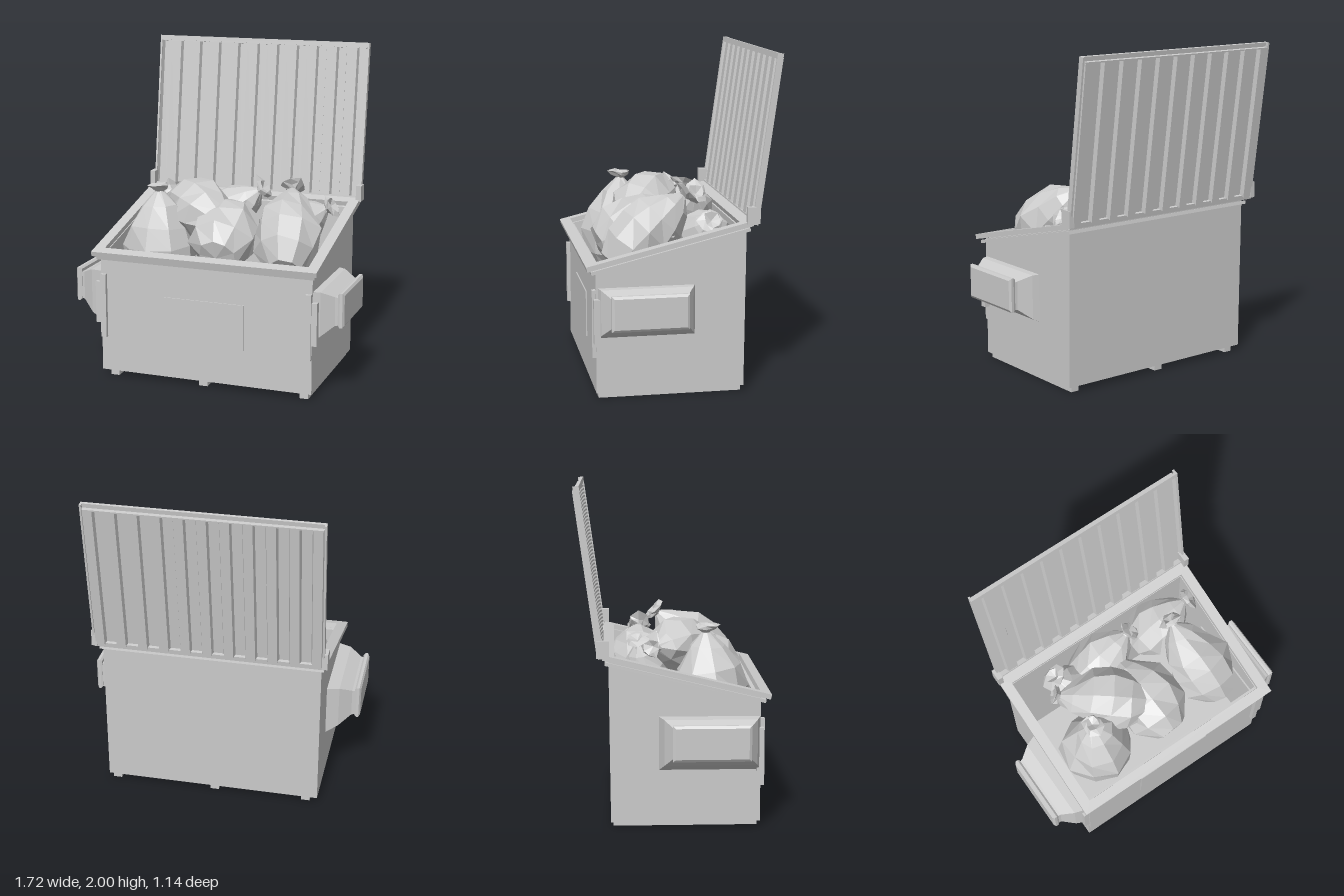
import * as THREE from 'three';

const grey = new THREE.MeshStandardMaterial({ color: 0xcccccc, flatShading: true, side: THREE.DoubleSide });
const MID = 0.018; // centre line of the bin body
const SLOPE = Math.atan(0.242);

function add(parent, name, geometry, x = 0, y = 0, z = 0) {
  const mesh = new THREE.Mesh(geometry, grey);
  mesh.name = name;
  mesh.position.set(x, y, z);
  parent.add(mesh);
  return mesh;
}

// Box given by its limits on each axis
function block(parent, name, [x0, x1], [y0, y1], [z0, z1]) {
  return add(parent, name, new THREE.BoxGeometry(x1 - x0, y1 - y0, z1 - z0),
    (x0 + x1) / 2, (y0 + y1) / 2, (z0 + z1) / 2);
}

function polygon(points) {
  return new THREE.Shape(points.map(([x, y]) => new THREE.Vector2(x, y)));
}

const extrude = (shape, depth) => new THREE.ExtrudeGeometry(shape, { depth, bevelEnabled: false });

// Rectangular sections [x, y0, y1, z0, z1] joined along x, on side s
function loft(sections, s) {
  const n = sections.length - 1;
  const geo = new THREE.BoxGeometry(n, 1, 1, n, 1, 1);
  const p = geo.attributes.position;
  for (let i = 0; i < p.count; i++) {
    const [x, y0, y1, z0, z1] = sections[Math.round(p.getX(i) * s + n / 2)];
    p.setXYZ(i, s * x, p.getY(i) > 0 ? y1 : y0, p.getZ(i) > 0 ? z1 : z0);
  }
  geo.computeVertexNormals();
  return geo;
}

// Rectangular frame lying flat, with its underside on y = 0
function frame(w, d, holeW, holeD, height) {
  const rect = (a, b) => [[-a / 2, -b / 2], [a / 2, -b / 2], [a / 2, b / 2], [-a / 2, b / 2]];
  const shape = polygon(rect(w, d));
  shape.holes.push(polygon(rect(holeW, holeD)));
  return extrude(shape, height).rotateX(-Math.PI / 2);
}

// Repeatable offset in -1..1 that depends on the position only
function noise(x, y, z, seed) {
  const q = v => Math.round(v * 1000) / 1000 + 0;
  const h = Math.sin(q(x) * 127.1 + q(y) * 311.7 + q(z) * 74.7 + seed * 19.3) * 43758.5453;
  return (h - Math.floor(h)) * 2 - 1;
}

// Turned shape with creased, uneven facets
function crumpled(profile, sides, amount, seed) {
  const geo = new THREE.LatheGeometry(profile.map(([r, y]) => new THREE.Vector2(r, y)), sides);
  const p = geo.attributes.position;
  for (let i = 0; i < p.count; i++) {
    const v = [p.getX(i), p.getY(i), p.getZ(i)];
    const k = 1 + amount * noise(...v, seed);
    p.setXYZ(i, v[0] * k, v[1] + amount * 0.4 * Math.hypot(v[0], v[2]) * noise(...v, seed + 5), v[2] * k);
  }
  geo.computeVertexNormals();
  return geo;
}

// Tied rubbish bag reaching from its middle to its knot
function bag(parent, centre, knot, radius, seed) {
  const c = new THREE.Vector3(...centre);
  const axis = new THREE.Vector3(...knot).sub(c);
  const length = axis.length();
  const g = new THREE.Group();
  g.name = 'rubbishBag';
  g.position.copy(c);
  g.quaternion.setFromUnitVectors(new THREE.Vector3(0, 1, 0), axis.normalize());
  const body = crumpled([[0, -0.95], [0.55, -0.9], [0.93, -0.5], [1.02, -0.05], [0.88, 0.35],
    [0.5, 0.75], [0.13, 1]], 9, 0.11, seed);
  add(g, 'bagBody', body.scale(radius, length, radius));
  const tie = crumpled([[0.035, -0.03], [0.022, 0], [0.05, 0.02], [0.078, 0.04], [0.045, 0.05], [0, 0.025]],
    8, 0.3, seed + 2);
  add(g, 'bagKnot', tie, 0, length, 0);
  parent.add(g);
}

function buildBody(root) {
  const body = new THREE.Group();
  body.name = 'binBody';
  root.add(body);
  const [x0, x1, t] = [-0.655, 0.69, 0.03];
  // Side walls with a sloping top; shape x is -z
  const side = polygon([[-0.515, 0.035], [0.36, 0.035], [0.37, 0.99], [-0.515, 0.776]]);
  for (const x of [x0, x1 - t]) {
    add(body, 'sideWall', extrude(side, t).rotateY(Math.PI / 2), x, 0, 0);
  }
  block(body, 'frontWall', [x0 + t, x1 - t], [0.035, 0.775], [0.485, 0.515]);
  const back = polygon([[0.36, 0.035], [0.37, 0.99], [0.34, 0.98], [0.33, 0.035]]);
  add(body, 'backWall', extrude(back, x1 - x0 - 2 * t).rotateY(Math.PI / 2), x0 + t, 0, 0);
  block(body, 'floor', [x0 + t, x1 - t], [0.035, 0.06], [-0.34, 0.49]);
  block(body, 'frontPanel', [-0.24, 0.27], [0.26, 0.54], [0.51, 0.522]);
  for (const x of [-0.58, 0.003, 0.64]) {
    block(body, 'runner', [x - 0.027, x + 0.027], [0, 0.037], [-0.345, 0.5]);
  }
  // Sloping rim in two steps
  const rim = new THREE.Group();
  rim.name = 'rim';
  rim.position.set(MID, 0.88, 0.08);
  rim.rotation.x = SLOPE;
  add(rim, 'upperRim', frame(1.42, 1.0, 1.29, 0.87, 0.03), 0, 0.005, 0);
  add(rim, 'lowerRim', frame(1.38, 0.96, 1.32, 0.89, 0.02), 0, -0.025, 0);
  root.add(rim);
}

function buildFittings(root) {
  for (const s of [-1, 1]) {
    // Lifting pocket with a bevelled end plate
    const pocket = new THREE.Group();
    pocket.name = s > 0 ? 'leftPocket' : 'rightPocket';
    add(pocket, 'pocketSleeve', loft([[0.65, 0.345, 0.665, -0.08, 0.515], [0.73, 0.39, 0.66, -0.05, 0.49],
      [0.805, 0.45, 0.625, 0, 0.44], [0.83, 0.455, 0.62, 0.005, 0.435]], s));
    add(pocket, 'pocketPlate', loft([[0.822, 0.455, 0.64, 0, 0.44], [0.834, 0.44, 0.65, -0.005, 0.445],
      [0.85, 0.44, 0.65, -0.005, 0.445], [0.86, 0.455, 0.635, 0.01, 0.43]], s));
    root.add(pocket);
    // Brackets on the front corners
    const x = MID + s * 0.652;
    block(root, 'cornerBracket', [x - 0.018, x + 0.018], [0.25, 0.65], [0.505, 0.538]);
    const o = x + s * 0.024;
    block(root, 'outerBracket', [o - 0.028, o + 0.028], [0.34, 0.6], [0.49, 0.53]);
    // Lid hinge
    const h = MID + 0.002 + s * 0.702;
    block(root, 'hinge', [h - 0.017, h + 0.017], [1.015, 1.115], [-0.44, -0.365]);
  }
}

function buildLid(root) {
  const lid = new THREE.Group();
  lid.name = 'openLid';
  lid.position.set(0.025, 1.03, -0.402);
  lid.rotation.x = -0.138;
  const [half, skin, deep, pitch, height] = [0.705, 0.009, 0.036, 0.132, 0.95];
  // Corrugated sheet: ribs stand out at the back and are hollow at the front
  const front = [[-half, 0]];
  const rear = [[-half, skin]];
  for (let i = -5; i <= 5; i++) {
    const c = i * pitch;
    front.push([c - 0.033, 0], [c - 0.025, deep - skin], [c + 0.025, deep - skin], [c + 0.033, 0]);
    rear.push([c - 0.036, skin], [c - 0.028, deep], [c + 0.028, deep], [c + 0.036, skin]);
  }
  front.push([half, 0]);
  rear.push([half, skin]);
  const sheet = polygon([...front, ...rear.reverse()]);
  add(lid, 'ribbedSheet', extrude(sheet, height).rotateX(-Math.PI / 2));
  // Border: top flange, end cap of the ribs and side edges
  block(lid, 'topFlange', [-half, half], [height - 0.004, 0.976], [-0.012, 0.006]);
  block(lid, 'topCap', [-0.69, 0.69], [height - 0.008, height], [-deep, 0]);
  block(lid, 'bottomEdge', [-half, half], [-0.02, 0.01], [-0.03, 0.004]);
  for (const s of [-1, 1]) {
    const x = s * (half - 0.006);
    block(lid, 'sideEdge', [x - 0.006, x + 0.006], [0, 0.976], [-0.03, 0.006]);
  }
  root.add(lid);
}

export function createModel() {
  const root = new THREE.Group();
  root.name = 'openRubbishBin';
  buildBody(root);
  buildFittings(root);
  buildLid(root);
  // Heap of bags: middle, knot, radius
  const heap = [
    [[-0.38, 0.80, 0.23], [-0.39, 1.12, 0.21], 0.22],
    [[-0.2, 0.99, 0.07], [-0.43, 1.04, -0.09], 0.19],
    [[0.03, 0.88, 0.17], [0.0, 0.98, -0.1], 0.21],
    [[-0.08, 0.92, -0.18], [0.13, 1.08, -0.18], 0.165],
    [[0.38, 0.88, -0.18], [0.57, 1.0, -0.18], 0.165],
    [[0.43, 0.92, 0.17], [0.39, 1.13, -0.05], 0.2],
    [[-0.3, 0.86, -0.14], [-0.38, 1.05, -0.19], 0.15],
    [[0.46, 0.7, 0.14], [0.5, 0.9, 0.1], 0.17],
  ];
  heap.forEach(([centre, knot, radius], i) => bag(root, centre, knot, radius, i + 1));
  return root;
}
